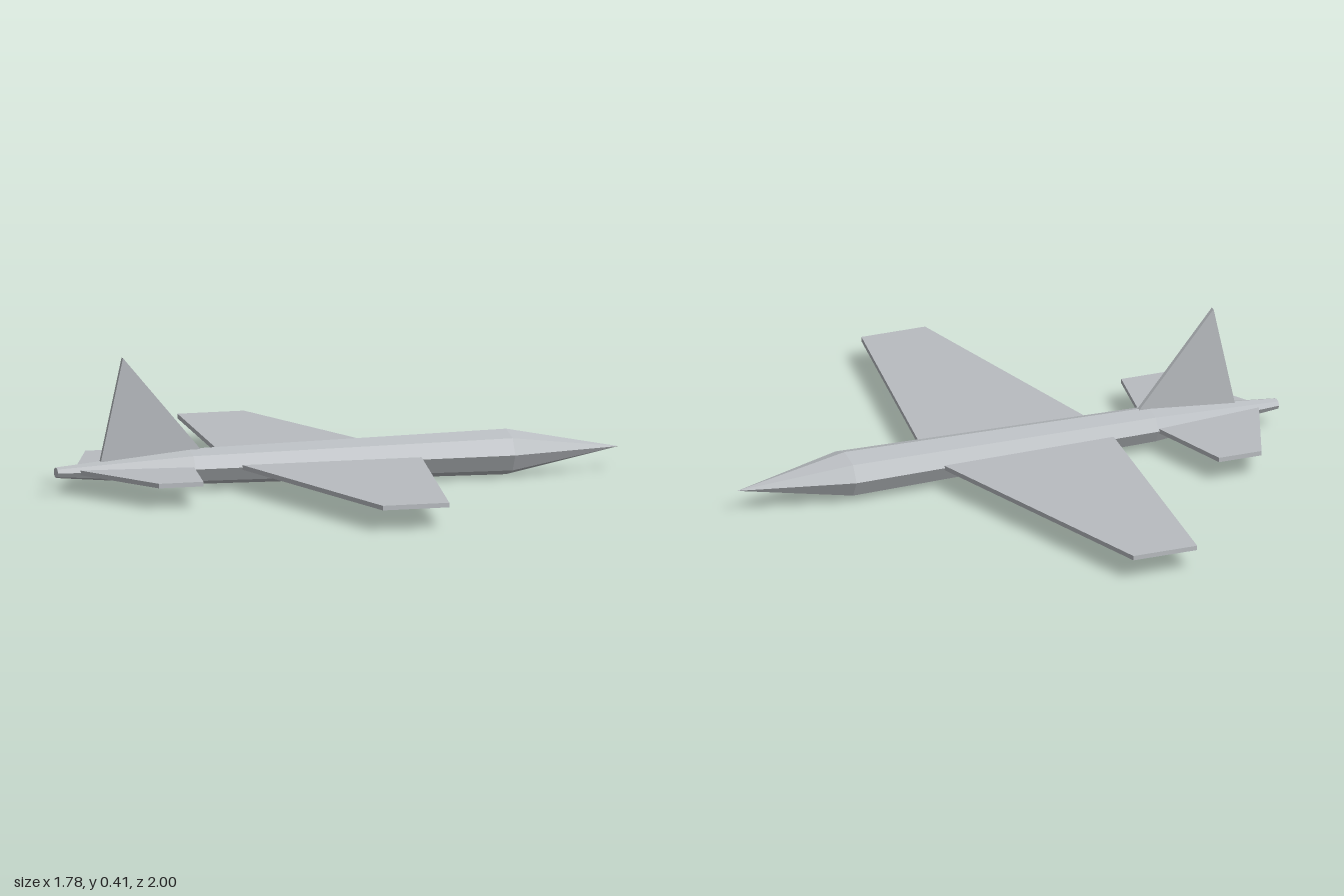
import * as THREE from 'three';

const MID = 0.07; // height of the fuselage axis
const THICK = 0.014; // thickness of wings and fin

export function createModel() {
  const grey = new THREE.MeshStandardMaterial({ color: 0xb8bcc0 });
  grey.name = 'airframe grey';
  const model = new THREE.Group();
  model.name = 'airplane';

  const add = (name, geometry) => {
    const mesh = new THREE.Mesh(geometry, grey);
    mesh.name = name;
    mesh.position.y = MID;
    model.add(mesh);
  };

  // Thin plate cut from an outline, centred on its own plane
  const plate = (points) => {
    const shape = new THREE.Shape(points.map(([x, y]) => new THREE.Vector2(x, y)));
    return new THREE.ExtrudeGeometry(shape, { depth: THICK, bevelEnabled: false })
      .translate(0, 0, -THICK / 2);
  };

  // Horizontal surface: half outline mirrored across the centre line
  const wingPair = (half) => {
    const mirrored = half.filter((p) => p[1] !== 0).map(([x, z]) => [x, -z]).reverse();
    return plate([...half, ...mirrored]).rotateX(Math.PI / 2);
  };

  // Eight-sided fuselage, slightly flattened, from tail cap to pointed nose
  const profile = [[0, -0.89], [0.021, -0.89], [0.07, -0.47], [0.09, 0.535], [0, 0.89]]
    .map(([r, x]) => new THREE.Vector2(r, x));
  const body = new THREE.LatheGeometry(profile, 8)
    .rotateZ(-Math.PI / 2)
    .scale(1, 0.77, 1)
    .toNonIndexed();
  body.computeVertexNormals();
  add('fuselage', body);

  // Main wings and tailplane
  add('mainWings', wingPair([[0.26, 0], [0.03, 1], [-0.18, 1], [-0.333, 0]]));
  add('tailplane', wingPair([[-0.459, 0], [-0.54, 0.36], [-0.68, 0.36], [-0.832, 0]]));

  // Upright triangular fin
  add('tailFin', plate([[-0.756, 0], [-0.39, 0], [-0.68, 0.34]]));

  return model;
}
